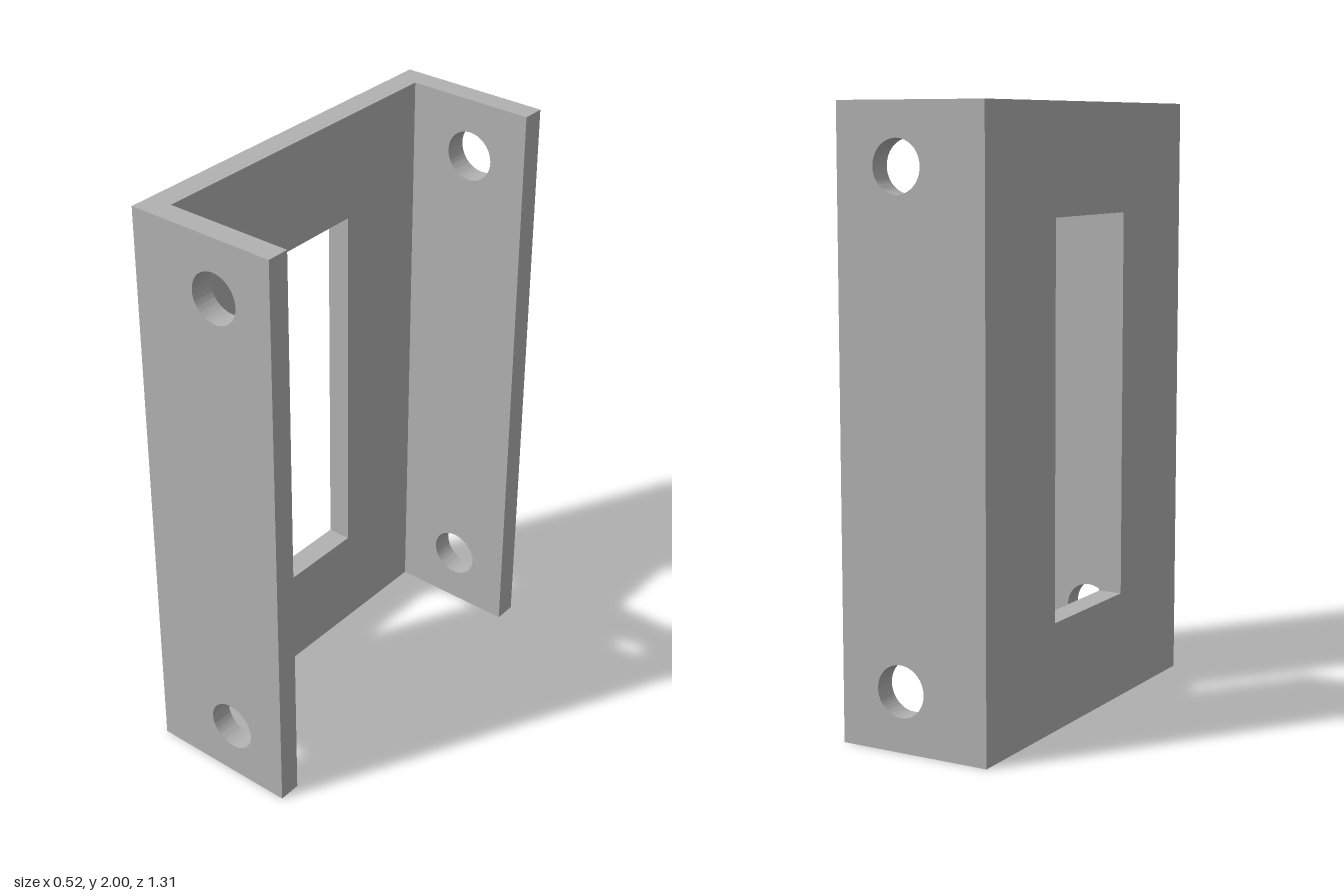
import * as THREE from 'three';
import { toCreasedNormals } from 'three/addons/utils/BufferGeometryUtils.js';

const HEIGHT = 2, LEFT = 0.26, RIGHT = -0.262; // overall x range
const HALF_DEPTH = 0.654, FLANGE = 0.077, WEB = 0.082; // half depth and wall thicknesses

// Rectangular outline between two corners
function rectangle(Type, x0, y0, x1, y1) {
  return new Type([[x0, y0], [x1, y0], [x1, y1], [x0, y1]].map(([x, y]) => new THREE.Vector2(x, y)));
}

function plate(shape, depth) {
  const geometry = new THREE.ExtrudeGeometry(shape, { depth, bevelEnabled: false, curveSegments: 40 });
  return toCreasedNormals(geometry, 0.6);
}

export function createModel() {
  const model = new THREE.Group();
  model.name = 'channelBracket';
  const metal = new THREE.MeshStandardMaterial({ color: 0xb2b2b2 });
  metal.name = 'grey metal';

  // Upright web with a rectangular window, fitted between the flanges
  const inner = HALF_DEPTH - FLANGE;
  const webShape = rectangle(THREE.Shape, -inner, 0, inner, HEIGHT);
  webShape.holes.push(rectangle(THREE.Path, -0.23, 0.357, 0.23, 1.643));
  const web = new THREE.Mesh(plate(webShape, WEB), metal);
  web.name = 'windowedWeb';
  web.rotation.y = Math.PI / 2;
  web.position.x = RIGHT;
  model.add(web);

  // Front and back flanges, each with two round bolt holes
  const flangeShape = rectangle(THREE.Shape, RIGHT, 0, LEFT, HEIGHT);
  for (const y of [0.196, 1.804]) {
    flangeShape.holes.push(new THREE.Path().absarc(0.046, y, 0.084, 0, Math.PI * 2, true));
  }
  const flangeGeometry = plate(flangeShape, FLANGE);
  for (const [name, z] of [['frontFlange', inner], ['backFlange', -HALF_DEPTH]]) {
    const flange = new THREE.Mesh(flangeGeometry, metal);
    flange.name = name;
    flange.position.z = z;
    model.add(flange);
  }
  return model;
}
